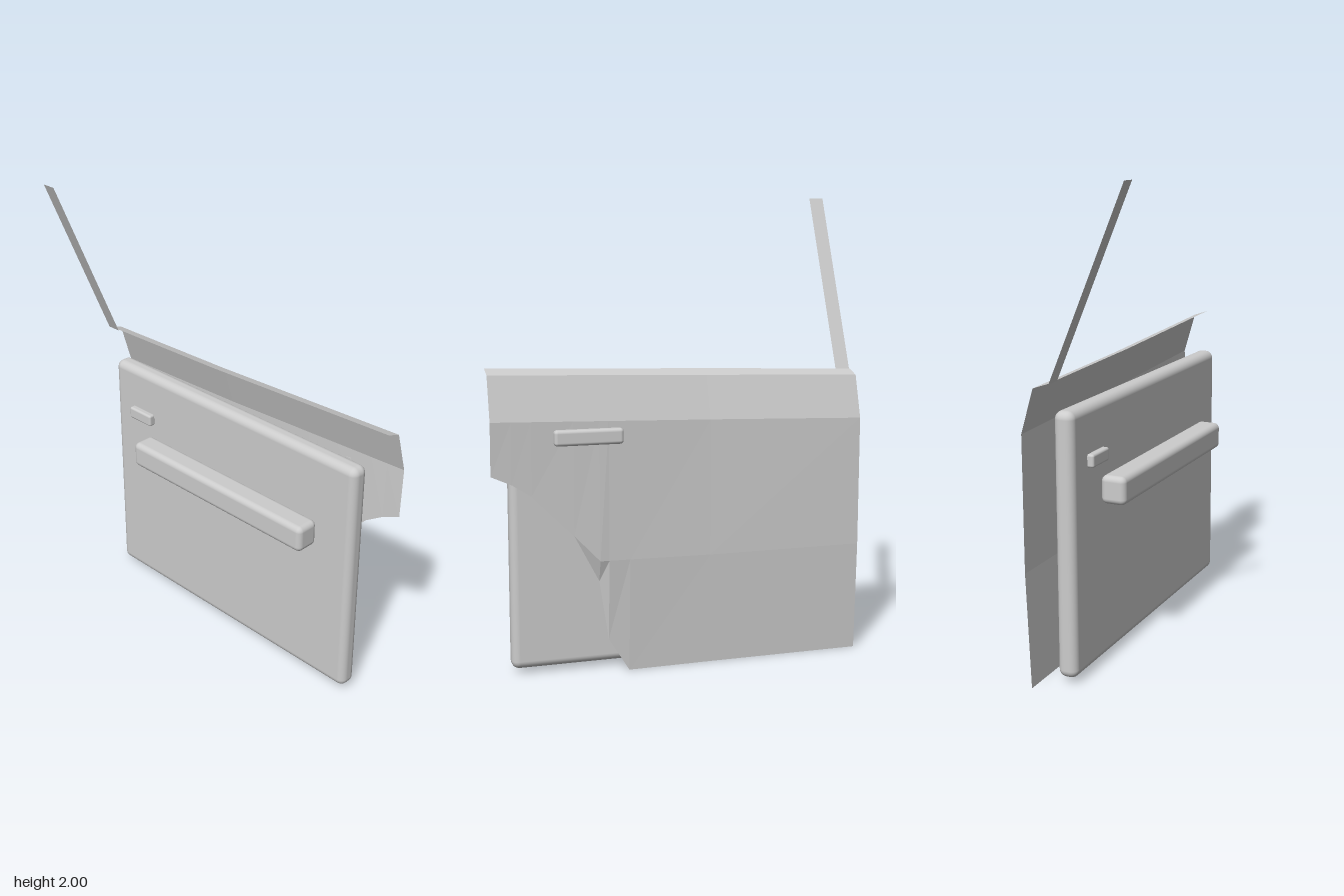
import * as THREE from 'three';
import { RoundedBoxGeometry } from 'three/addons/geometries/RoundedBoxGeometry.js';

const panelGrey = new THREE.MeshStandardMaterial({ color: 0xcccccc });
panelGrey.name = 'panelGrey';
const sheetGrey = new THREE.MeshStandardMaterial({ color: 0xcccccc, side: THREE.DoubleSide, flatShading: true });
sheetGrey.name = 'sheetGrey';

// Sheet joining columns of [x, y, z] points, columns running towards +z, rows upwards
function sheet(name, columns) {
  const pos = [];
  const tri = (...pts) => pts.forEach((p) => pos.push(...p));
  const same = (p, q) => p.every((v, k) => Math.abs(v - q[k]) < 1e-6);
  for (let i = 0; i < columns.length - 1; i++) {
    for (let j = 0; j < columns[i].length - 1; j++) {
      const a = columns[i][j], d = columns[i][j + 1];
      const b = columns[i + 1][j], c = columns[i + 1][j + 1];
      if (!same(a, d)) tri(a, d, b);
      if (!same(b, c)) tri(d, c, b);
    }
  }
  const geo = new THREE.BufferGeometry();
  geo.setAttribute('position', new THREE.Float32BufferAttribute(pos, 3));
  geo.computeVertexNormals();
  const mesh = new THREE.Mesh(geo, sheetGrey);
  mesh.name = name;
  return mesh;
}

// Soft-edged block given by its bounds
function block(name, [x0, x1], [y0, y1], [z0, z1], radius) {
  const mesh = new THREE.Mesh(new RoundedBoxGeometry(x1 - x0, y1 - y0, z1 - z0, 4, radius), panelGrey);
  mesh.position.set((x0 + x1) / 2, (y0 + y1) / 2, (z0 + z1) / 2);
  mesh.name = name;
  return mesh;
}

// One upright section of the outer skin; the lower edge follows the wheel arch
function skinColumn([z, bottomY, bottomX, creaseY, creaseX]) {
  const t = (z + 0.81) / 1.625;
  const flare = Math.max(0, (z + 0.12) / 0.935) * 0.026;
  const rise = 0.048 * t;
  return [
    [bottomX, bottomY, z],
    [creaseX, creaseY, z],
    [0.188 + flare, 1.042 + rise, z],
    [0.134 + flare, 1.225 + rise, z],
    [0.07 + flare, 1.247 + rise, z],
  ];
}

export function createModel() {
  const door = new THREE.Group();
  door.name = 'door';

  // Outer skin: z, lower edge y and x, crease y and x
  door.add(sheet('outerSkin', [
    [-0.81, 0, 0.168, 0.48, 0.187],
    [-0.12, 0, 0.168, 0.48, 0.188],
    [0.235, 0, 0.172, 0.487, 0.196],
    [0.325, 0.145, 0.174, 0.489, 0.199],
    [0.365, 0.4, 0.178, 0.49, 0.203],
    [0.475, 0.605, 0.203, 0.605, 0.203],
    [0.65, 0.78, 0.205, 0.78, 0.205],
    [0.73, 0.832, 0.206, 0.832, 0.206],
    [0.815, 0.87, 0.207, 0.87, 0.207],
  ].map(skinColumn)));

  // Leaning window pillar
  door.add(sheet('windowPillar', [-0.81, -0.745].map((z) => [[0.065, 1.247, z], [-0.253, 2, z]])));

  // Inner trim and fittings
  door.add(block('innerPanel', [0.018, 0.104], [0.022, 1.122], [-0.722, 0.722], 0.034));
  door.add(block('armrest', [-0.09, 0.02], [0.695, 0.815], [-0.49, 0.54], 0.025));
  door.add(block('innerHandle', [-0.01, 0.024], [0.875, 0.93], [-0.6, -0.46], 0.01));
  door.add(block('outerHandle', [0.205, 0.248], [0.985, 1.05], [0.272, 0.56], 0.014));
  return door;
}
